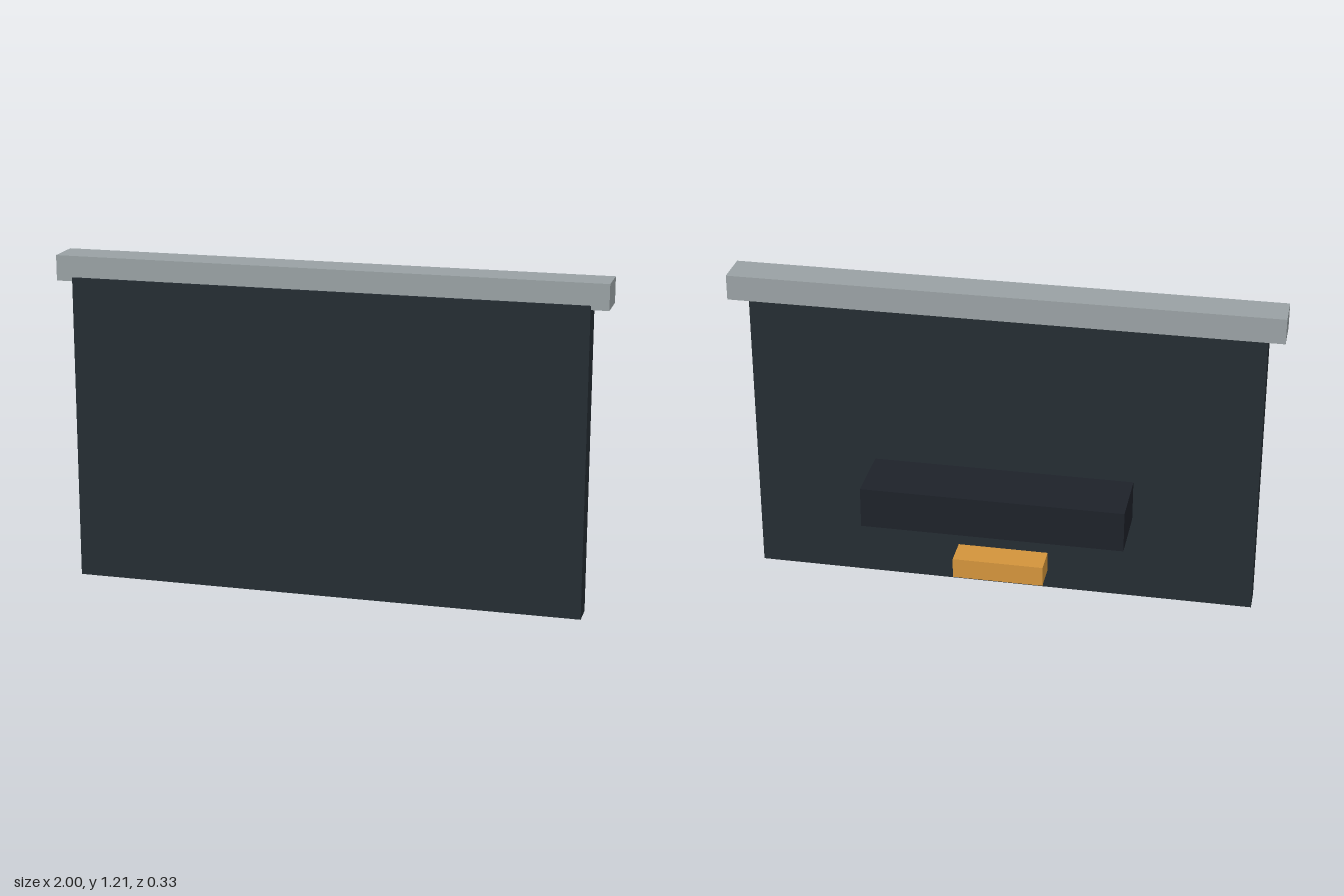
import * as THREE from 'three';

export function createModel() {
  const model = new THREE.Group();

  // Box given by its width (centred on x) and its y and z ranges
  function addBox(name, color, width, [y0, y1], [z0, z1]) {
    const mesh = new THREE.Mesh(
      new THREE.BoxGeometry(width, y1 - y0, z1 - z0),
      new THREE.MeshStandardMaterial({ color })
    );
    mesh.name = name;
    mesh.position.set(0, (y0 + y1) / 2, (z0 + z1) / 2);
    model.add(mesh);
  }

  // Upright slab
  addBox('panel', 0x252d33, 1.875, [0, 1.127], [0.073, 0.165]);
  // Rail along the top, set slightly behind the panel's front
  addBox('topRail', 0x9ba3a6, 2, [1.112, 1.205], [0.018, 0.156]);
  // Long block on the back
  addBox('rearBlock', 0x1e222a, 0.967, [0.33, 0.484], [-0.163, 0.08]);
  // Small block below it
  addBox('lowerBlock', 0xd5963c, 0.34, [0.072, 0.149], [-0.038, 0.08]);

  return model;
}
